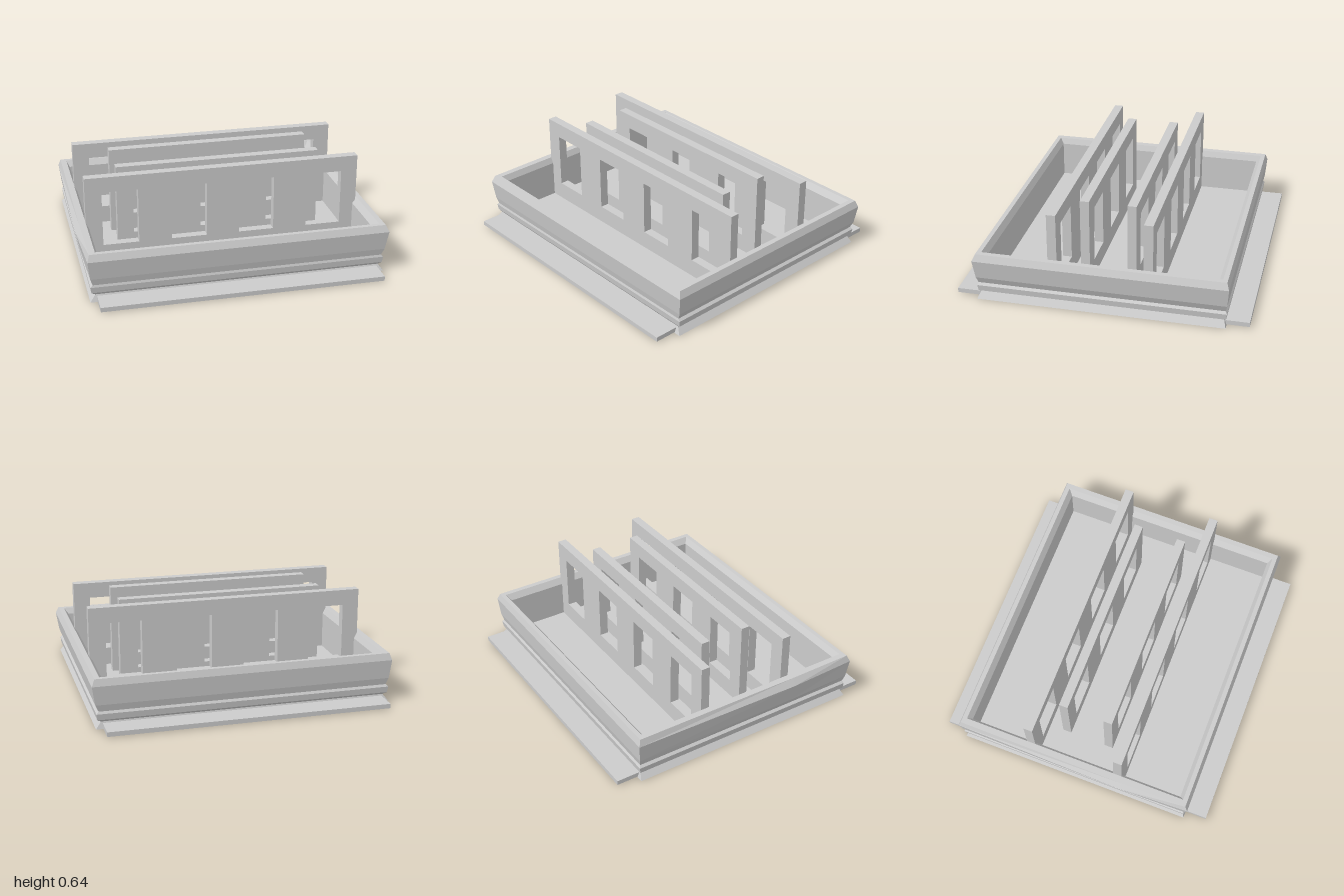
import * as THREE from 'three';

const grey = new THREE.MeshStandardMaterial({ color: 0xcccccc, flatShading: true });

function addMesh(group, name, geometry) {
  const mesh = new THREE.Mesh(geometry, grey);
  mesh.name = name;
  group.add(mesh);
  return mesh;
}

// Rectangle path, used for panel outlines and window holes
function rect(Type, x0, x1, y0, y1) {
  const p = new Type();
  p.moveTo(x0, y0);
  p.lineTo(x1, y0);
  p.lineTo(x1, y1);
  p.lineTo(x0, y1);
  p.closePath();
  return p;
}

// Upright wall with a row of square-cut windows
function windowPanel(x0, x1, centres) {
  const shape = rect(THREE.Shape, x0, x1, 0.03, 0.64);
  for (const c of centres) shape.holes.push(rect(THREE.Path, c - 0.12, c + 0.12, 0.16, 0.535));
  const geo = new THREE.ExtrudeGeometry(shape, { depth: 0.06, bevelEnabled: false });
  return geo.translate(0, 0, -0.03);
}

// Tray: rings [left x, right x, back z, front z, y, bulge of left side]
// running from the base, up the outside, over the rim and down to the floor
function trayGeometry() {
  const rings = [
    [-0.965, 0.975, -0.81, 0.81, 0, 0],
    [-0.93, 0.94, -0.795, 0.79, 0.045, 0],
    [-0.955, 0.965, -0.81, 0.80, 0.06, 0],
    [-0.96, 0.97, -0.815, 0.805, 0.10, 0],
    [-0.945, 0.955, -0.805, 0.80, 0.115, 0],
    [-0.96, 0.975, -0.815, 0.81, 0.16, 0.01],
    [-0.975, 0.995, -0.825, 0.825, 0.285, 0.02],
    [-0.96, 0.975, -0.81, 0.805, 0.33, 0.005],
    [-0.92, 0.94, -0.78, 0.775, 0.33, 0],
    [-0.90, 0.91, -0.75, 0.75, 0.29, 0],
    [-0.90, 0.91, -0.75, 0.75, 0.04, 0],
  ];
  const pos = [];
  const idx = [];
  const n = 5;
  for (const [l, r, b, f, y, bulge] of rings) {
    pos.push(l, y, f, r, y, f, r, y, b, l, y, b, l - bulge, y, 0.35);
  }
  for (let i = 0; i < rings.length - 1; i++) {
    for (let j = 0; j < n; j++) {
      const a = i * n + j;
      const b = i * n + (j + 1) % n;
      idx.push(a, b, b + n, a, b + n, a + n);
    }
  }
  // Underside and inner floor
  const top = (rings.length - 1) * n;
  for (let j = 1; j < n - 1; j++) {
    idx.push(0, j + 1, j, top, top + j, top + j + 1);
  }
  const geo = new THREE.BufferGeometry();
  geo.setAttribute('position', new THREE.Float32BufferAttribute(pos, 3));
  geo.setIndex(idx);
  const flat = geo.toNonIndexed();
  flat.computeVertexNormals();
  return flat;
}

export function createModel() {
  const model = new THREE.Group();
  model.name = 'walledTray';

  addMesh(model, 'tray', trayGeometry());

  // Thin plate showing as a ledge at front and back
  addMesh(model, 'basePlate', new THREE.BoxGeometry(1.85, 0.03, 1.91)).position.set(0.005, 0.02, 0);

  // Long outer walls with four windows, shorter inner walls with three
  const outer = windowPanel(-0.92, 0.93, [-0.69, -0.23, 0.23, 0.70]);
  const inner = windowPanel(-0.69, 0.70, [-0.46, 0, 0.46]);
  for (const [side, s] of [['front', 1], ['back', -1]]) {
    addMesh(model, side + 'OuterWall', outer).position.z = s * 0.31;
    addMesh(model, side + 'InnerWall', inner).position.z = s * 0.155;
  }

  return model;
}
